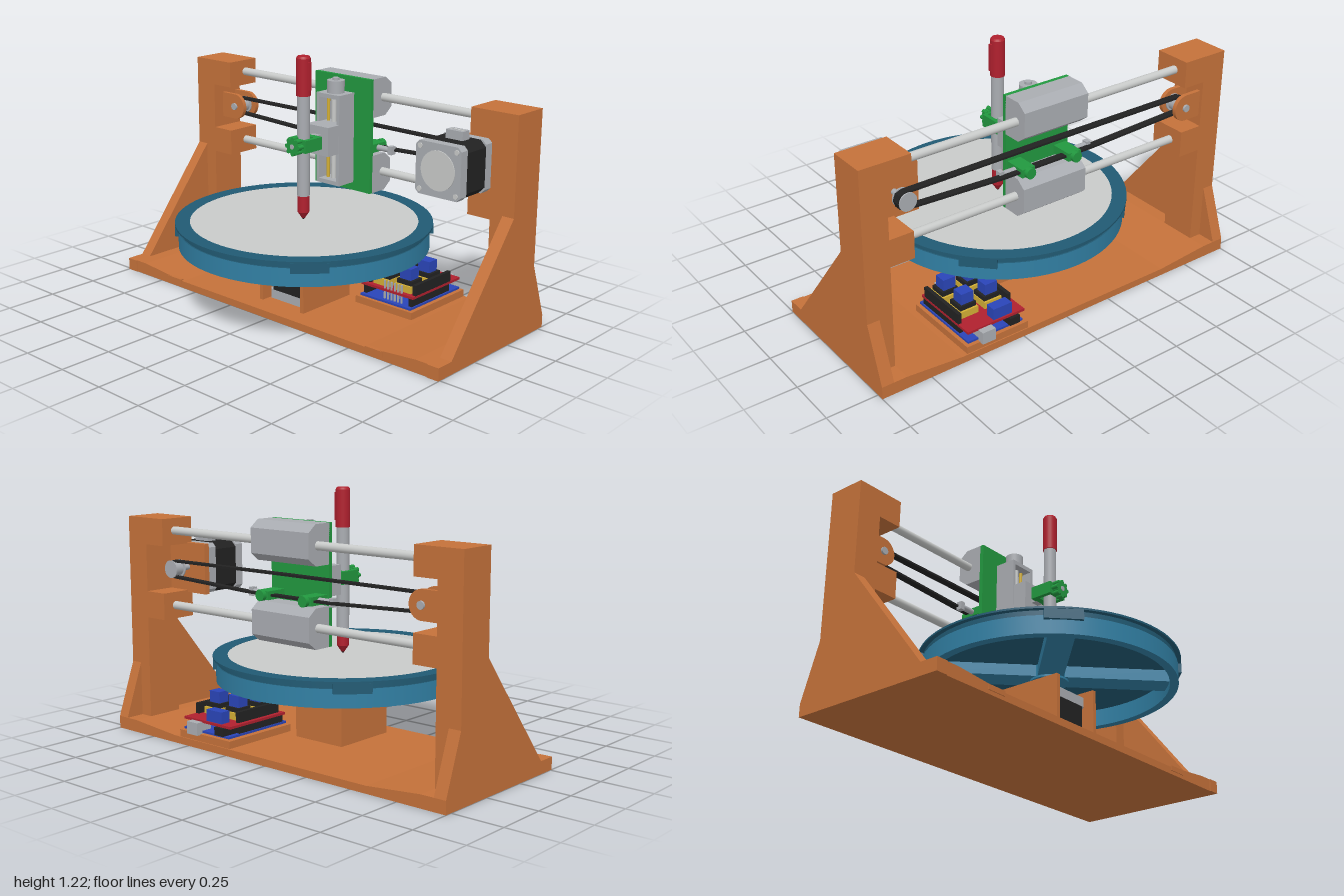
import * as THREE from 'three';

const mat = (name, color, side = THREE.FrontSide) => {
  const m = new THREE.MeshStandardMaterial({ color, side });
  m.name = name;
  return m;
};

export function createModel() {
  const root = new THREE.Group();
  root.name = 'plotter';
  const orange = mat('orange', 0xc4713a);
  const blue = mat('turntable blue', 0x317fa3, THREE.DoubleSide);
  const navy = mat('rim blue', 0x215a73, THREE.DoubleSide);
  const pale = mat('pale grey', 0xc8cac9);
  const silver = mat('silver', 0xa9acb1);
  const black = mat('black', 0x222222);
  const red = mat('red', 0xb0202e);
  const green = mat('green', 0x22983f);
  const yellow = mat('yellow', 0xd2ae35);
  const chipBlue = mat('chip blue', 0x2a45b8);

  const add = (name, geo, m, parent = root) => {
    const mesh = new THREE.Mesh(geo, m);
    mesh.name = name;
    parent.add(mesh);
    return mesh;
  };
  const group = (name) => {
    const g = new THREE.Group();
    g.name = name;
    root.add(g);
    return g;
  };
  // box from its two corners
  const box = (name, m, x0, x1, y0, y1, z0, z1, parent) => {
    const b = add(name, new THREE.BoxGeometry(x1 - x0, y1 - y0, z1 - z0), m, parent);
    b.position.set((x0 + x1) / 2, (y0 + y1) / 2, (z0 + z1) / 2);
    return b;
  };
  // cylinder along an axis, from a to b, at the two remaining coordinates
  const cyl = (name, m, axis, r, a, b, p, q, parent, sides = 24) => {
    const c = add(name, new THREE.CylinderGeometry(r, r, b - a, sides), m, parent);
    const mid = (a + b) / 2;
    if (axis === 'x') { c.rotation.z = Math.PI / 2; c.position.set(mid, p, q); }
    if (axis === 'y') c.position.set(p, mid, q);
    if (axis === 'z') { c.rotation.x = Math.PI / 2; c.position.set(p, q, mid); }
    return c;
  };
  const poly = (pts) => new THREE.Shape(pts.map(([x, y]) => new THREE.Vector2(x, y)));
  const extrude = (shape, depth) => new THREE.ExtrudeGeometry(shape, { depth, bevelEnabled: false, curveSegments: 20 });
  // profile given as (z, y), extruded from x0 to x1
  const sideExtrude = (name, m, pts, x0, x1, parent) => {
    const geo = extrude(poly(pts.map(([z, y]) => [-z, y])), x1 - x0).rotateY(Math.PI / 2);
    add(name, geo, m, parent).position.x = x0;
  };

  // base, thicker towards both ends
  add('base', extrude(poly([[-1, 0], [1, 0], [1, 0.06], [0.875, 0.06], [0.59, 0.035],
    [-0.59, 0.035], [-0.875, 0.06], [-1, 0.06]]), 0.79), orange).position.z = -0.535;

  // uprights with gussets and rod holders
  const profile = [[0.26, 0], [0.26, 0.06], [0.17, 0.06], [-0.255, 0.59], [-0.255, 1.05],
    [-0.44, 1.05], [-0.44, 0.325], [-0.535, 0.06], [-0.535, 0]];
  for (const s of [-1, 1]) {
    const g = group(s > 0 ? 'leftUpright' : 'rightUpright');
    const span = (a, b) => (s > 0 ? [a, b] : [-b, -a]);
    sideExtrude('gusset', orange, profile, ...span(0.94, 1), g);
    box('column', orange, ...span(0.875, 0.94), 0.03, 1.05, -0.44, -0.255, g);
    box('upperRodHolder', orange, ...span(0.755, 0.875), 0.92, 1.05, -0.44, -0.255, g);
    box('lowerRodHolder', orange, ...span(0.755, 0.875), 0.56, 0.69, -0.44, -0.255, g);
    box('baseKey', orange, ...span(0.6, 0.7), 0.018, 0.042, 0.24, 0.259, g);
  }
  for (const y of [0.99, 0.625]) cyl('guideRod', pale, 'x', 0.02, -0.76, 0.76, y, -0.365);

  // stepper motor, shaft along local +z, starting at z = 0
  const square = (h, c) => poly([[-h + c, -h], [h - c, -h], [h, -h + c], [h, h - c],
    [h - c, h], [-h + c, h], [-h, h - c], [-h, -h + c]]);
  const stepper = (name) => {
    const g = group(name);
    add('rearCap', extrude(square(0.12, 0.018), 0.045), silver, g);
    add('body', extrude(square(0.12, 0.03), 0.135), black, g).position.z = 0.045;
    add('frontCap', extrude(square(0.12, 0.018), 0.045), silver, g).position.z = 0.18;
    cyl('collar', silver, 'z', 0.06, 0.225, 0.235, 0, 0, g);
    cyl('shaft', silver, 'z', 0.014, 0.22, 0.32, 0, 0, g);
    cyl('rearDisc', pale, 'z', 0.09, -0.004, 0.002, 0, 0, g, 32);
    for (const x of [-0.097, 0.097]) for (const y of [-0.097, 0.097])
      cyl('screw', pale, 'z', 0.012, -0.004, 0.002, x, y, g, 12);
    return g;
  };
  const driveMotor = stepper('driveMotor');
  driveMotor.rotation.y = Math.PI;
  driveMotor.position.set(0.75, 0.805, -0.032);
  box('driveMotorPlug', silver, 0.71, 0.8, 0.92, 0.965, -0.185, -0.135);
  for (let i = 0; i < 4; i++) box('plugPin', pale, 0.72 + i * 0.02, 0.73 + i * 0.02, 0.93, 0.967, -0.17, -0.15);
  box('motorMount', orange, 0.63, 0.875, 0.68, 0.925, -0.285, -0.257);
  const tableMotor = stepper('tableMotor');
  tableMotor.rotation.x = -Math.PI / 2;
  tableMotor.position.y = 0.04;

  // open-fronted housing around the table motor
  for (const s of [-1, 1]) box('motorHousingSide', orange, s * 0.132 - 0.01, s * 0.132 + 0.01, 0.03, 0.3, -0.15, 0.16);
  box('motorHousingBack', orange, -0.142, 0.142, 0.03, 0.3, -0.17, -0.13);

  // forked idler holder and pulleys
  const fork = new THREE.Shape();
  fork.moveTo(-0.1, -0.065).lineTo(0, -0.065).absarc(0, 0, 0.065, -Math.PI / 2, Math.PI / 2).lineTo(-0.1, 0.065);
  for (const z of [-0.425, -0.335])
    add('idlerFork', extrude(fork, 0.02), orange).position.set(-0.785, 0.805, z);
  cyl('idlerBolt', silver, 'z', 0.018, -0.435, -0.305, -0.785, 0.805);
  for (const x of [-0.785, 0.75]) {
    cyl('pulley', silver, 'z', 0.034, -0.39, -0.345, x, 0.805);
    for (const z of [-0.394, -0.341]) cyl('pulleyFlange', silver, 'z', 0.043, z - 0.003, z + 0.003, x, 0.805);
  }

  // toothed belt: a loop of thin strips with bends at the carriage
  const run = [[0.75, 0.843], [0, 0.846], [-0.785, 0.845], [-0.815, 0.832], [-0.825, 0.805], [-0.815, 0.778],
    [-0.785, 0.766], [-0.25, 0.745], [0.25, 0.745], [0.75, 0.766], [0.78, 0.778], [0.79, 0.805], [0.78, 0.832]];
  const belt = group('belt');
  run.forEach(([x, y], i) => {
    const [x2, y2] = run[(i + 1) % run.length];
    const len = Math.hypot(x2 - x, y2 - y);
    const strip = add('beltStrip', new THREE.BoxGeometry(len + 0.004, 0.01, 0.036), black, belt);
    strip.position.set((x + x2) / 2, (y + y2) / 2, -0.367);
    strip.rotation.z = Math.atan2(y2 - y, x2 - x);
  });

  // carriage
  const carriage = group('carriage');
  box('carriagePlate', green, -0.175, 0.175, 0.53, 1.085, -0.292, -0.272, carriage);
  for (const [y0, y1] of [[0.9, 1.085], [0.53, 0.715]])
    sideExtrude('bearingBlock', silver, [[-0.29, y0], [-0.29, y1], [-0.38, y1], [-0.425, y1 - 0.035],
      [-0.425, y0 + 0.035], [-0.38, y0]], -0.175, 0.175, carriage);
  for (const s of [-1, 1]) {
    box('beltArm', green, s * 0.13 - 0.035, s * 0.13 + 0.035, 0.725, 0.765, -0.4, -0.29, carriage);
    cyl('beltKnob', green, 'z', 0.026, -0.42, -0.395, s * 0.13, 0.745, carriage, 12);
    cyl('tensioner', silver, 'x', 0.014, s * 0.21 - 0.045, s * 0.21 + 0.045, 0.745, -0.345, carriage, 12);
    box('tensionerNut', silver, s * 0.245 - 0.012, s * 0.245 + 0.012, 0.725, 0.765, -0.36, -0.33, carriage);
  }

  // vertical slide with lead screw
  const slide = group('penSlide');
  box('slideBack', silver, -0.072, 0.072, 0.57, 1.01, -0.272, -0.25, slide);
  for (const s of [-1, 1]) {
    box('slideWall', silver, s * 0.064 - 0.008, s * 0.064 + 0.008, 0.57, 1.01, -0.25, -0.165, slide);
    cyl('slideRod', yellow, 'y', 0.008, 0.58, 1, s * 0.035, -0.21, slide, 12);
  }
  for (const y of [0.57, 0.99]) box('slideEnd', silver, -0.06, 0.06, y, y + 0.02, -0.25, -0.165, slide);
  cyl('leadScrew', pale, 'y', 0.012, 0.58, 1, 0, -0.21, slide, 12);
  cyl('slideMotor', silver, 'y', 0.042, 1.01, 1.07, 0, -0.222, slide);
  cyl('slideMotorBoss', silver, 'y', 0.016, 1.07, 1.082, 0, -0.222, slide);
  box('slider', silver, -0.07, 0.07, 0.73, 0.87, -0.24, -0.09, slide);
  box('sliderArm', silver, -0.022, 0.022, 0.77, 0.83, -0.09, -0.06, slide);

  // pen clamp and knob
  const clamp = group('penClamp');
  for (const s of [-1, 1]) box('clampCheek', green, s * 0.045 - 0.01, s * 0.045 + 0.01, 0.77, 0.83, -0.065, 0.05, clamp);
  box('clampBack', green, -0.035, 0.035, 0.77, 0.83, -0.065, -0.03, clamp);
  box('clampFront', green, -0.035, 0.035, 0.77, 0.83, 0.036, 0.05, clamp);
  cyl('knob', green, 'z', 0.036, 0.05, 0.082, 0, 0.8, clamp);
  for (let i = 0; i < 8; i++) {
    const a = i * Math.PI / 4;
    cyl('knobLobe', green, 'z', 0.01, 0.05, 0.082, 0.036 * Math.cos(a), 0.8 + 0.036 * Math.sin(a), clamp, 10);
  }
  cyl('knobCentre', silver, 'z', 0.012, 0.08, 0.085, 0, 0.8, clamp, 12);

  // pen
  const pen = group('pen');
  pen.position.z = 0.005;
  cyl('penBarrel', silver, 'y', 0.03, 0.55, 1.03, 0, 0, pen);
  cyl('penCap', red, 'y', 0.034, 1.03, 1.205, 0, 0, pen);
  add('penCapTop', new THREE.CylinderGeometry(0.028, 0.034, 0.01, 24), red, pen).position.y = 1.21;
  box('penClip', red, 0.026, 0.044, 1.06, 1.19, -0.008, 0.008, pen);
  cyl('penGrip', red, 'y', 0.028, 0.47, 0.55, 0, 0, pen);
  add('penCone', new THREE.CylinderGeometry(0.028, 0.008, 0.03, 24), red, pen).position.y = 0.455;
  add('penTip', new THREE.CylinderGeometry(0.008, 0.002, 0.01, 12), black, pen).position.y = 0.436;

  // turntable: ring wall, rim, plate, spokes and clips
  const table = group('turntable');
  const ring = (name, m, pts) => add(name, new THREE.LatheGeometry(
    pts.map(([r, y]) => new THREE.Vector2(r, y)), 72), m, table);
  ring('ringOuterWall', blue, [[0.595, 0.315], [0.595, 0.4]]);
  ring('ringInnerWall', blue, [[0.555, 0.4], [0.555, 0.315]]);
  ring('ringBottom', blue, [[0.555, 0.315], [0.595, 0.315]]);
  ring('rimGroove', navy, [[0.588, 0.4], [0.588, 0.426]]);
  ring('rimStep', navy, [[0.595, 0.4], [0.588, 0.4]]);
  ring('rimUnderside', navy, [[0.588, 0.426], [0.61, 0.426]]);
  ring('rimEdge', navy, [[0.61, 0.426], [0.61, 0.435]]);
  ring('rimTop', navy, [[0.61, 0.435], [0.54, 0.435]]);
  cyl('plate', pale, 'y', 0.541, 0.42, 0.433, 0, 0, table, 72);
  cyl('plateUnderside', navy, 'y', 0.556, 0.4, 0.42, 0, 0, table, 72);
  cyl('hub', blue, 'y', 0.09, 0.335, 0.41, 0, 0, table);
  for (let i = 0; i < 4; i++) {
    const arm = new THREE.Group();
    arm.name = 'tableArm';
    arm.rotation.y = Math.PI / 4 + i * Math.PI / 2;
    table.add(arm);
    box('spoke', blue, 0.05, 0.56, 0.345, 0.4, -0.06, 0.06, arm);
    box('clip', navy, 0.55, 0.606, 0.38, 0.427, -0.085, 0.085, arm);
  }

  // controller electronics on a tray
  const board = group('controller');
  box('tray', orange, 0.225, 0.56, 0.035, 0.07, -0.53, -0.12, board);
  box('mainBoard', chipBlue, 0.245, 0.545, 0.074, 0.084, -0.515, -0.13, board);
  box('shieldBoard', red, 0.235, 0.545, 0.122, 0.134, -0.515, -0.15, board);
  box('usbSocket', silver, 0.42, 0.49, 0.066, 0.126, -0.55, -0.46, board);
  box('powerSocket', black, 0.27, 0.325, 0.084, 0.122, -0.53, -0.43, board);
  for (const x of [0.25, 0.52]) {
    box('socketStrip', black, x, x + 0.018, 0.084, 0.122, -0.44, -0.15, board);
    box('pinHeader', black, x + 0.006, x + 0.024, 0.134, 0.185, -0.44, -0.17, board);
  }
  for (const x of [0.3, 0.43]) for (const z of [-0.36, -0.22]) {
    box('driverSocket', yellow, x - 0.012, x + 0.082, 0.134, 0.168, z - 0.055, z + 0.045, board);
    box('driverBoard', black, x - 0.008, x + 0.078, 0.168, 0.19, z - 0.045, z + 0.035, board);
    box('heatSink', chipBlue, x, x + 0.065, 0.19, 0.245, z - 0.035, z + 0.025, board);
  }
  box('terminalBlock', chipBlue, 0.3, 0.4, 0.134, 0.19, -0.507, -0.455, board);
  for (let i = 0; i < 6; i++) {
    const x = 0.37 + i * 0.02;
    box('pin', silver, x, x + 0.007, 0.084, 0.122, -0.16, -0.152, board);
    box('signalPin', silver, x, x + 0.007, 0.134, 0.175, -0.16, -0.152, board);
  }
  return root;
}
